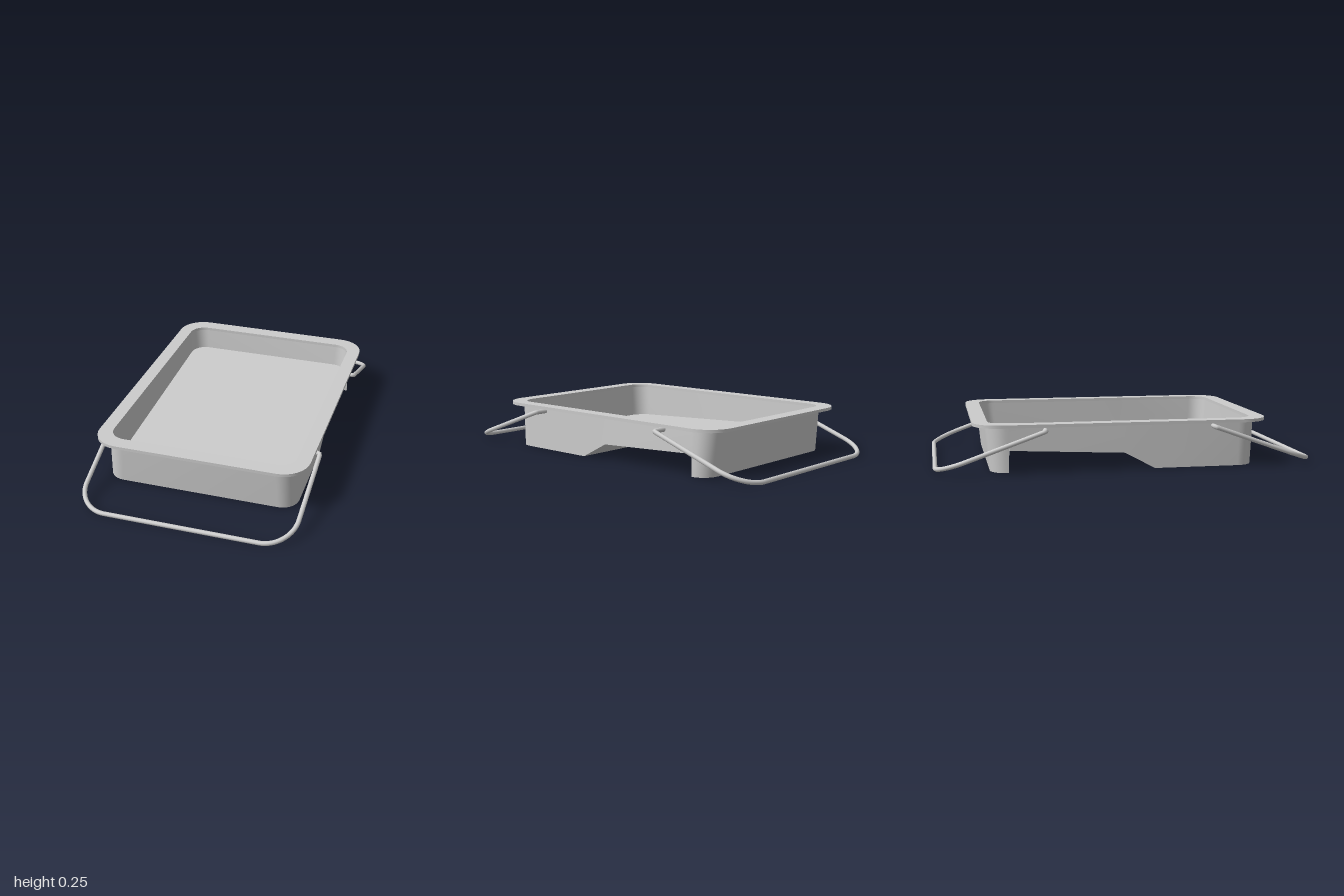
import * as THREE from 'three';
import { toCreasedNormals } from 'three/addons/utils/BufferGeometryUtils.js';

const RIM_BOTTOM = 0.234, RIM_TOP = 0.25;
const BREAKS = [0.13, 0, -0.03, -0.62];

// Height profiles as [z, y], running front to back
const BASE = [[0.7, 0], [0.13, 0], [-0.03, 0.085], [-0.62, 0.113], [-0.624, 0], [-0.8, 0]];
const BASIN = [[0.7, 0.055], [0, 0.087], [-0.8, 0.123]];

function heightAt(profile, z) {
  for (let i = 1; i < profile.length; i++) {
    const [z0, y0] = profile[i - 1], [z1, y1] = profile[i];
    if (z >= z1) return y0 + (y1 - y0) * (z0 - z) / (z0 - z1);
  }
  return profile[profile.length - 1][1];
}

// Rounded rectangle split in a left and a right half, each running front to back
function outline(x0, x1, z0, z1, r) {
  const right = [];
  for (let i = 0; i <= 8; i++) {
    const a = i / 8 * Math.PI / 2;
    right.push([x1 - r + r * Math.sin(a), z1 - r + r * Math.cos(a)]);
  }
  for (const z of BREAKS) right.push([x1, z]);
  for (let i = 0; i <= 8; i++) {
    const a = i / 8 * Math.PI / 2;
    right.push([x1 - r + r * Math.cos(a), z0 + r - r * Math.sin(a)]);
  }
  const left = right.map(([x, z]) => [x0 + x1 - x, z]);
  return { left, right, ring: [...right, ...[...left].reverse()] };
}

function quads(list, flip) {
  const pos = [];
  for (const [a, b, c, d] of list) {
    const order = flip ? [a, c, b, a, d, c] : [a, b, c, a, c, d];
    for (const p of order) pos.push(...p);
  }
  const g = new THREE.BufferGeometry();
  g.setAttribute('position', new THREE.Float32BufferAttribute(pos, 3));
  return toCreasedNormals(g, 0.4);
}

// Wall between a lower outline that follows a profile and a level upper outline
function wall(low, high, profile, flip) {
  const n = low.ring.length, list = [];
  const bottom = i => [low.ring[i][0], heightAt(profile, low.ring[i][1]), low.ring[i][1]];
  const top = i => [high.ring[i][0], RIM_BOTTOM, high.ring[i][1]];
  for (let i = 0; i < n; i++) {
    const j = (i + 1) % n;
    list.push([bottom(i), bottom(j), top(j), top(i)]);
  }
  return quads(list, flip);
}

// Sheet spanning an outline from left to right at the profile's height
function sheet({ left, right }, profile, flip) {
  const at = ([x, z]) => [x, heightAt(profile, z), z];
  const list = [];
  for (let i = 0; i < left.length - 1; i++) {
    list.push([at(left[i]), at(right[i]), at(right[i + 1]), at(left[i + 1])]);
  }
  return quads(list, flip);
}

// Wire bail (end: 1 front, -1 back): pegs, sloping arms and a rounded crossbar
function handleGeometry(end) {
  const P = (x, z) => new THREE.Vector3(x, 0.214 - (z - 0.435) * 0.36, z * end);
  const path = new THREE.CurvePath();
  const line = (a, b) => path.add(new THREE.LineCurve3(a, b));
  const bend = (a, c, b) => path.add(new THREE.CubicBezierCurve3(
    a, a.clone().lerp(c, 0.55), b.clone().lerp(c, 0.55), b));
  line(P(0.487, 0.438), P(0.556, 0.438));
  bend(P(0.556, 0.438), P(0.566, 0.438), P(0.566, 0.448));
  line(P(0.566, 0.448), P(0.557, 0.83));
  bend(P(0.557, 0.83), P(0.555, 0.988), P(0.4, 0.988));
  line(P(0.4, 0.988), P(-0.4, 0.988));
  bend(P(-0.4, 0.988), P(-0.555, 0.988), P(-0.557, 0.83));
  line(P(-0.557, 0.83), P(-0.566, 0.448));
  bend(P(-0.566, 0.448), P(-0.566, 0.438), P(-0.556, 0.438));
  line(P(-0.556, 0.438), P(-0.509, 0.438));
  return new THREE.TubeGeometry(path, 240, 0.012, 10, false);
}

export function createModel() {
  const model = new THREE.Group();
  model.name = 'paintTray';
  const material = new THREE.MeshStandardMaterial({ color: 0xcccccc, side: THREE.DoubleSide });
  const add = (name, geometry) => {
    const mesh = new THREE.Mesh(geometry, material);
    mesh.name = name;
    model.add(mesh);
  };

  // Outer shell, stepped underneath with a solid foot at the back
  const outerTop = outline(-0.517, 0.492, -0.738, 0.68, 0.1);
  const outerLow = outline(-0.522, 0.497, -0.714, 0.663, 0.09);
  add('outerWall', wall(outerLow, outerTop, BASE, false));
  add('underside', sheet(outerLow, BASE, true));

  // Basin with a shallow well and a rising ramp
  const innerTop = outline(-0.505, 0.48, -0.722, 0.657, 0.085);
  const innerLow = outline(-0.5, 0.475, -0.712, 0.648, 0.085);
  add('innerWall', wall(innerLow, innerTop, BASIN, true));
  add('basinFloor', sheet(innerLow, BASIN, false));

  // Flat rim around the opening
  const points = o => o.ring.map(([x, z]) => new THREE.Vector2(x, -z));
  const rimShape = new THREE.Shape(points(outline(-0.577, 0.552, -0.8, 0.735, 0.14)));
  rimShape.holes.push(new THREE.Path(points(innerTop)));
  const rim = new THREE.ExtrudeGeometry(rimShape, { depth: RIM_TOP - RIM_BOTTOM, bevelEnabled: false });
  rim.rotateX(-Math.PI / 2).translate(0, RIM_BOTTOM, 0);
  add('rim', toCreasedNormals(rim, 0.5));

  // Wire handles at both ends
  add('frontHandle', handleGeometry(1));
  add('backHandle', handleGeometry(-1));

  return model;
}
